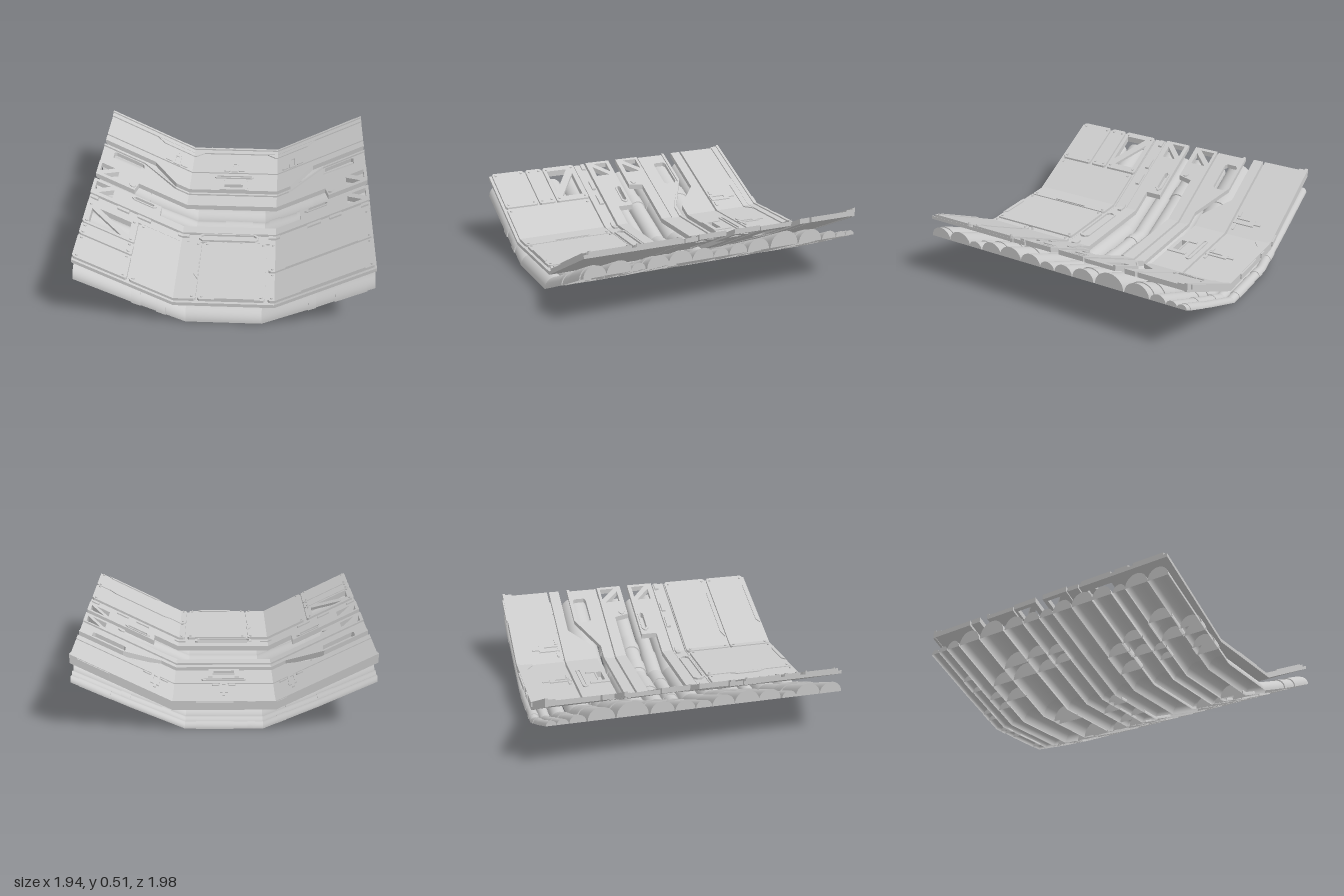
import * as THREE from 'three';

const mat = new THREE.MeshStandardMaterial({ color: 0xcccccc, side: THREE.DoubleSide });
const KINK = 0.33;
// Height of the panel surface and of the pipe bed across the width
const panelY = x => 0.17 + Math.max(0, Math.abs(x) - KINK) * 0.5;
const bedY = x => {
  const a = Math.abs(x);
  return a < 0.25 ? 0 : a < 0.6 ? (a - 0.25) * 0.43 : 0.15 + (a - 0.6) * 0.46;
};

function bend(geo, rule) {
  const p = geo.attributes.position;
  for (let i = 0; i < p.count; i++) p.setY(i, p.getY(i) + rule(p.getX(i)));
  geo.computeVertexNormals();
  return geo;
}

function add(parent, name, geo) {
  const m = new THREE.Mesh(geo, mat);
  m.name = name;
  parent.add(m);
  return m;
}

const rect = (x0, z0, x1, z1) => [[x0, z0], [x1, z0], [x1, z1], [x0, z1]];
const flip = pts => pts.map(([x, z]) => [-x, z]);
// Rectangle with cut corners
const cut = (x0, z0, x1, z1, c) => [[x0 + c, z0], [x1 - c, z0], [x1, z0 + c], [x1, z1 - c],
  [x1 - c, z1], [x0 + c, z1], [x0, z1 - c], [x0, z0 + c]];

// Keep the part of an outline on one side of a line of constant x
function clip(pts, x, s) {
  const out = [];
  pts.forEach((a, i) => {
    const b = pts[(i + 1) % pts.length];
    const da = (a[0] - x) * s, db = (b[0] - x) * s;
    if (da >= 0) out.push(a);
    if (da * db < 0) out.push([x, a[1] + (b[1] - a[1]) * da / (da - db)]);
  });
  return out;
}

// Plate from an x/z outline, folded along the two kink lines
function plate(parent, name, pts, top = 0, thick = 0.028, holes = []) {
  const g = new THREE.Group();
  g.name = name;
  for (const [lo, hi] of [[-2, -KINK], [-KINK, KINK], [KINK, 2]]) {
    const part = clip(clip(pts, lo, 1), hi, -1);
    if (part.length < 3 || part.every(p => p[0] <= lo) || part.every(p => p[0] >= hi)) continue;
    const toV = q => q.map(([x, z]) => new THREE.Vector2(x, -z));
    const shape = new THREE.Shape(toV(part));
    for (const h of holes) {
      const cx = h.reduce((s, p) => s + p[0], 0) / h.length;
      if (cx > lo && cx < hi) shape.holes.push(new THREE.Path(toV(h)));
    }
    const geo = new THREE.ExtrudeGeometry(shape, { depth: thick, bevelEnabled: false });
    geo.rotateX(-Math.PI / 2).translate(0, top - thick, 0);
    add(g, name + 'Section', bend(geo, panelY));
  }
  parent.add(g);
}

// Two triangular openings separated by a diagonal brace
const truss = (x0, z0, x1, z1, w) => [
  [[x0 + w, z0], [x1, z0], [x1, z1 - w * 0.7]],
  [[x0, z0 + w * 0.7], [x1 - w, z1], [x0, z1]]];

function bolt(parent, x, z, r = 0.009) {
  add(parent, 'bolt', bend(new THREE.CylinderGeometry(r, r, 0.012, 10).translate(x, 0.002, z), panelY));
}

// Half-round, open-bottomed pipe following the bent bed
function halfPipe(parent, name, z, r, x0, x1) {
  const g = new THREE.Group();
  g.name = name;
  const xs = [x0, ...[-0.6, -0.25, 0.25, 0.6].filter(k => k > x0 && k < x1), x1];
  for (let i = 0; i < xs.length - 1; i++) {
    const a = xs[i], b = xs[i + 1];
    const geo = new THREE.CylinderGeometry(r, r, b - a, 18, 1, true, 0, Math.PI);
    add(g, name + 'Span', bend(geo.rotateZ(Math.PI / 2).translate((a + b) / 2, 0, z), bedY));
  }
  for (const [x, turn] of [[x0, -1], [x1, 1]]) {
    const cap = new THREE.CircleGeometry(r, 18, 0, Math.PI).rotateY(turn * Math.PI / 2);
    add(g, name + 'End', bend(cap.translate(x, 0, z), bedY));
  }
  parent.add(g);
}

export function createModel() {
  const model = new THREE.Group();
  const pipes = new THREE.Group(), panels = new THREE.Group();
  pipes.name = 'pipeBed';
  panels.name = 'panels';
  model.add(pipes, panels);

  // Pipes: z, radius, then collars as [from x, to x]
  const rows = [
    [0.905, 0.076, [[-0.6, -0.54], [-0.44, -0.38], [0.55, 0.6], [0.72, 0.92]]],
    [0.745, 0.084, [[-0.7, -0.55], [0.2, 0.38]]],
    [0.615, 0.048, [[-0.5, -0.42], [0.28, 0.36], [0.5, 0.54], [0.78, 0.86]]],
    [0.48, 0.076, [[-0.62, -0.5], [0.3, 0.36], [0.46, 0.52], [0.62, 0.7], [0.8, 0.87]]],
    [0.325, 0.084, [[-0.55, -0.4], [0.6, 0.74]]],
    [0.165, 0.076, []],
    [0.035, 0.054, [[-0.18, -0.12], [0.1, 0.45]]],
    [-0.09, 0.066, [[-0.7, -0.62], [-0.04, 0.16], [0.28, 0.36], [0.48, 0.54]]],
    [-0.24, 0.079, [[-0.72, -0.6], [0.3, 0.37], [0.5, 0.56], [0.78, 0.87]]],
    [-0.435, 0.104, [[-0.7, -0.6], [-0.13, -0.07], [0.24, 0.35]]],
    [-0.635, 0.088, [[-0.6, -0.45], [0.4, 0.48], [0.66, 0.76], [0.84, 0.9]]],
    [-0.785, 0.054, [[-0.5, -0.4], [0.3, 0.36], [0.45, 0.5]]],
    [-0.88, 0.038, [[-0.7, -0.6], [0.34, 0.4], [0.6, 0.66]]],
    [-0.952, 0.034, [[-0.4, -0.34], [-0.2, -0.15], [-0.06, 0.18], [0.72, 0.92]]]];
  for (const [z, r, collars] of rows) {
    halfPipe(pipes, 'pipe', z, r, -0.97, 0.97);
    for (const [a, b] of collars) halfPipe(pipes, 'collar', z, Math.min(r * 1.12, r + 0.008), a, b);
  }

  // Front deck: backing sheet with separate cover plates
  plate(panels, 'frontBacking', rect(-0.97, 0.3, 0.97, 0.975), -0.018, 0.024, [rect(-0.93, 0.34, -0.67, 0.53)]);
  const covers = [
    [-0.968, 0.302, -0.627, 0.555, truss(-0.93, 0.34, -0.67, 0.53, 0.045)],
    [-0.968, 0.568, -0.627, 0.692], [-0.968, 0.708, -0.627, 0.955],
    [-0.613, 0.31, -0.185, 0.955], [-0.172, 0.31, 0.268, 0.955],
    [0.287, 0.305, 0.967, 0.635], [0.287, 0.652, 0.967, 0.955]];
  for (const [x0, z0, x1, z1, holes] of covers) {
    plate(panels, 'coverPlate', cut(x0, z0, x1, z1, 0.012), 0, 0.018, holes);
    for (const x of [x0 + 0.025, x1 - 0.025]) for (const z of [z0 + 0.025, z1 - 0.025]) bolt(panels, x, z);
  }
  plate(panels, 'coverHandle', [[-0.06, 0.955], [-0.03, 0.93], [0.17, 0.93], [0.2, 0.955]], 0.008, 0.02);
  plate(panels, 'coverHandle', [[0.4, 0.637], [0.45, 0.612], [0.82, 0.612], [0.87, 0.637]], 0.008, 0.02);
  plate(panels, 'coverHandle', [[0.5, 0.955], [0.53, 0.93], [0.87, 0.93], [0.9, 0.955]], 0.008, 0.02);
  plate(panels, 'coverHandle', [[-0.19, 0.48], [-0.215, 0.53], [-0.215, 0.69], [-0.19, 0.74]], 0.008, 0.02);

  // Narrow strip behind the front deck, with a central access hatch
  plate(panels, 'narrowStrip', rect(-0.97, 0.205, 0.97, 0.292), -0.012, 0.03);
  plate(panels, 'hatch', cut(-0.21, 0.203, 0.21, 0.285, 0.025), 0.002, 0.02, [cut(-0.195, 0.214, 0.195, 0.274, 0.02)]);
  for (const s of [-1, 1]) {
    for (const [a, b] of [[0.28, 0.36], [0.55, 0.64], [0.7, 0.78], [0.91, 0.96]])
      plate(panels, 'stripClip', rect(Math.min(s * a, s * b), 0.215, Math.max(s * a, s * b), 0.245), 0.002, 0.02);
  }

  // Twin recessed panels whose ends carry braced openings
  const both = hs => [...hs, ...hs.map(flip)];
  plate(panels, 'frontBracedPanel',
    [[-0.97, 0], [-0.5, 0], [-0.5, 0.115], [0.5, 0.115], [0.5, 0], [0.97, 0], [0.97, 0.195], [-0.97, 0.195]],
    0, 0.036, both([...truss(0.825, 0.03, 0.95, 0.155, 0.03), cut(0.54, 0.022, 0.695, 0.058, 0.015)]));
  plate(panels, 'rearBracedPanel',
    [[-0.97, -0.245], [0.97, -0.245], [0.97, -0.06], [0.7, -0.06], [0.68, -0.165], [-0.68, -0.165], [-0.7, -0.06], [-0.97, -0.06]],
    0, 0.036, both(truss(0.825, -0.225, 0.95, -0.095, 0.03)));
  for (const s of [-1, 1]) {
    bolt(panels, s * 0.72, -0.105, 0.022);
    const slot = cut(0.53, 0.014, 0.705, 0.066, 0.02), hole = cut(0.545, 0.026, 0.69, 0.054, 0.013);
    plate(panels, 'slotRim', s > 0 ? slot : flip(slot), 0.008, 0.02, [s > 0 ? hole : flip(hole)]);
  }

  // Interlocking trapezoid panels
  const pocket = cut(0.67, -0.455, 0.89, -0.355, 0.015);
  plate(panels, 'pocketPanel',
    [[-0.97, -0.48], [-0.69, -0.48], [-0.44, -0.32], [0.44, -0.32], [0.69, -0.48], [0.97, -0.48], [0.97, -0.255], [-0.97, -0.255]],
    -0.008, 0.03, both([pocket]));
  const rail = [[-0.97, -0.485], [-0.68, -0.485], [-0.43, -0.335], [0.43, -0.335], [0.68, -0.485], [0.97, -0.485],
    [0.97, -0.465], [0.67, -0.465], [0.42, -0.315], [-0.42, -0.315], [-0.67, -0.465], [-0.97, -0.465]];
  plate(panels, 'pocketRail', rail, 0.004, 0.03);
  plate(panels, 'trapezoidPanel',
    [[-0.97, -0.625], [0.97, -0.625], [0.97, -0.55], [0.6, -0.55], [0.43, -0.385], [-0.43, -0.385], [-0.6, -0.55], [-0.97, -0.55]],
    0, 0.036, [rect(-0.07, -0.455, 0.07, -0.415)]);
  plate(panels, 'grabSlot', cut(-0.15, -0.588, 0.15, -0.55, 0.012), 0.01, 0.02, [cut(-0.135, -0.577, 0.135, -0.561, 0.006)]);
  plate(panels, 'latchBracket', [[-0.105, -0.525], [-0.075, -0.525], [-0.075, -0.465], [0.075, -0.465], [0.075, -0.525],
    [0.105, -0.525], [0.105, -0.385], [-0.105, -0.385]], 0.008, 0.02, [rect(-0.07, -0.455, 0.07, -0.415)]);

  // Rear panel with a stepped rim and three latches
  plate(panels, 'rearPanel', rect(-0.97, -0.975, 0.97, -0.64), 0, 0.036);
  plate(panels, 'rearRim', rect(-0.97, -0.985, 0.97, -0.965), 0.02, 0.06);
  plate(panels, 'rearStep', rect(-0.97, -0.966, 0.97, -0.918), 0.01, 0.03);
  for (const s of [-1, 1]) {
    const tab = [[0.25, -0.919], [0.62, -0.919], [0.56, -0.872], [0.31, -0.872]];
    plate(panels, 'rearTab', s > 0 ? tab : flip(tab), 0.008, 0.02);
  }
  for (const [a, b] of [[-0.4, -0.34], [-0.2, -0.15], [-0.06, 0.18], [0.72, 0.92]])
    plate(panels, 'rimLug', rect(a, -0.995, b, -0.98), 0.016, 0.035);
  for (const x of [-0.45, 0, 0.45]) {
    plate(panels, 'latchFrame', rect(x - 0.026, -0.8, x + 0.026, -0.645), 0.008, 0.02, [rect(x - 0.012, -0.76, x + 0.012, -0.66)]);
    plate(panels, 'latchPin', rect(x - 0.008, -0.85, x + 0.008, -0.8), 0.008, 0.02);
    for (const s of [-1, 1]) plate(panels, 'latchFoot', cut(x + s * 0.055 - 0.025, -0.675, x + s * 0.055 + 0.025, -0.655, 0.006), 0.008, 0.02);
  }
  return model;
}
